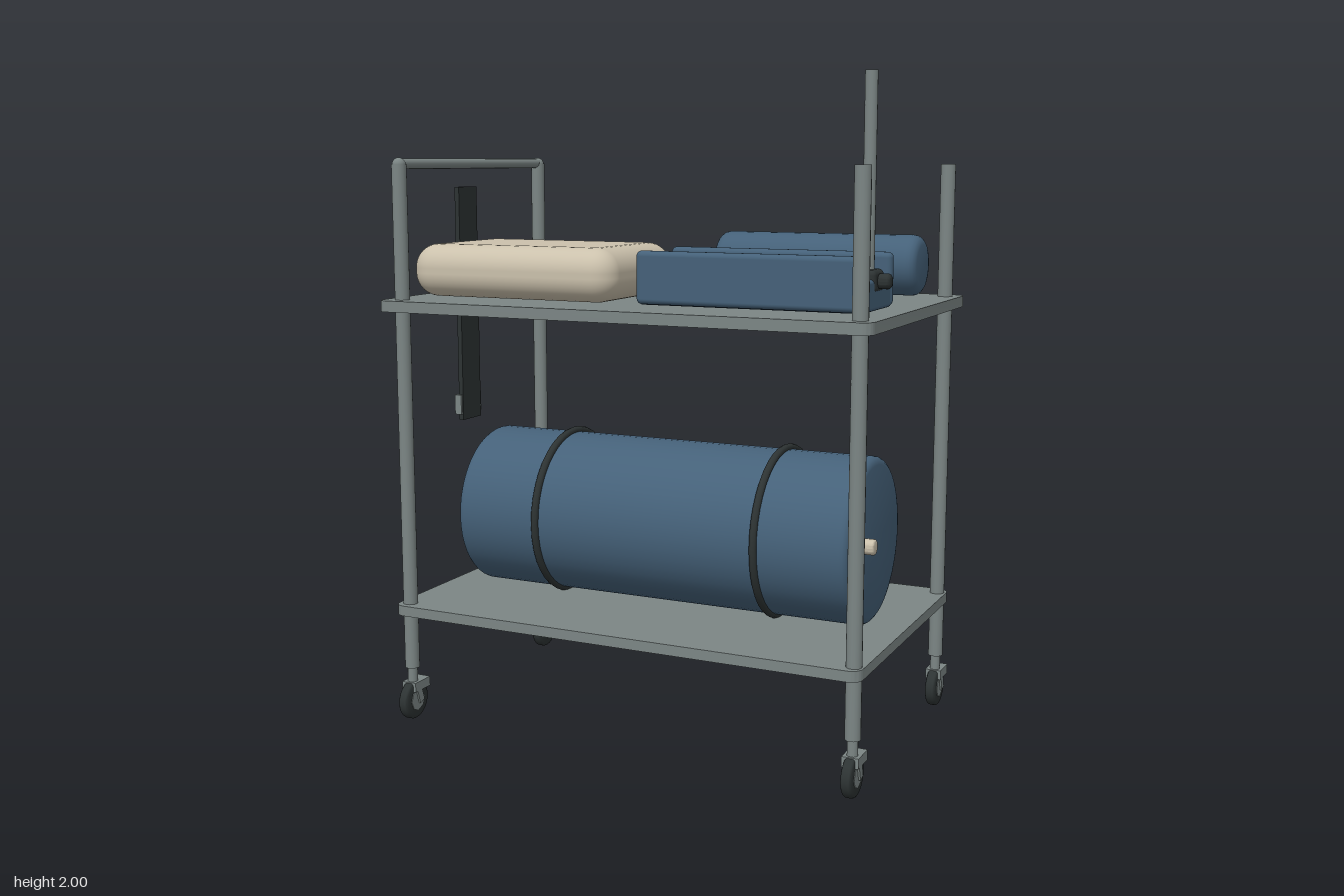
import * as THREE from 'three';
import { toCreasedNormals } from 'three/addons/utils/BufferGeometryUtils.js';
import { RoundedBoxGeometry } from 'three/addons/geometries/RoundedBoxGeometry.js';

const paint = (name, color) => {
  const m = new THREE.MeshStandardMaterial({ color });
  m.name = name;
  return m;
};

// Cylinder lying along x with softly rounded rims
function rollGeometry(radius, length, bevel, segments = 40) {
  const h = length / 2;
  const points = [new THREE.Vector2(0, -h)];
  for (const end of [-1, 1]) {
    for (let i = 0; i <= 4; i++) {
      const a = (end < 0 ? i - 4 : i) * Math.PI / 8;
      points.push(new THREE.Vector2(
        radius - bevel + bevel * Math.cos(a), end * (h - bevel) + bevel * Math.sin(a)));
    }
  }
  points.push(new THREE.Vector2(0, h));
  return toCreasedNormals(new THREE.LatheGeometry(points, segments).rotateZ(-Math.PI / 2), 0.5);
}

// Flat plate with rounded corners, bottom at y = 0
function shelfGeometry(w, d, thick, r) {
  const x = w / 2 - r, z = d / 2 - r, s = new THREE.Shape();
  s.absarc(x, z, r, 0, Math.PI / 2);
  s.absarc(-x, z, r, Math.PI / 2, Math.PI);
  s.absarc(-x, -z, r, Math.PI, Math.PI * 1.5);
  s.absarc(x, -z, r, Math.PI * 1.5, Math.PI * 2);
  const g = new THREE.ExtrudeGeometry(s, { depth: thick, bevelEnabled: false, curveSegments: 6 });
  return toCreasedNormals(g.rotateX(-Math.PI / 2), 0.6);
}

export function createModel() {
  const model = new THREE.Group();
  model.name = 'supplyCart';
  const metal = paint('greyMetal', 0x7c8685);
  const blue = paint('blue', 0x456179);
  const cream = paint('cream', 0xcbc1ac);
  const green = paint('green', 0x2e6b61);
  const dark = paint('blackRubber', 0x2d3333);

  const add = (name, geometry, material, x = 0, y = 0, z = 0, parent = model) => {
    const mesh = new THREE.Mesh(geometry, material);
    mesh.name = name;
    mesh.position.set(x, y, z);
    parent.add(mesh);
    return mesh;
  };
  const box = (w, h, d) => new THREE.BoxGeometry(w, h, d);
  const rod = (r, h, n = 16) => new THREE.CylinderGeometry(r, r, h, n);

  // Shelves
  add('upperShelf', shelfGeometry(1.57, 0.95, 0.034, 0.035), metal, -0.003, 1.301, -0.003);
  add('lowerShelf', shelfGeometry(1.53, 0.91, 0.032, 0.035), metal, -0.003, 0.346, 0);

  // Posts, each on a swivelling caster
  const postX = 0.733, postZ = 0.413;
  for (const sx of [-1, 1]) {
    for (const sz of [-1, 1]) {
      const x = sx * postX, z = sz * postZ;
      add('post', rod(0.023, 1.575), metal, x, 0.957, z);
      const caster = new THREE.Group();
      caster.name = 'caster';
      caster.position.set(x, 0, z);
      model.add(caster);
      add('casterStem', rod(0.016, 0.07, 12), metal, 0, 0.142, 0, caster);
      add('forkCrown', box(0.05, 0.03, 0.08), metal, 0, 0.108, -0.018, caster);
      add('wheel', rollGeometry(0.062, 0.032, 0.01, 24), dark, 0, 0.063, 0, caster);
      add('wheelHub', rod(0.034, 0.036, 8).rotateZ(Math.PI / 2), metal, 0, 0.063, 0, caster);
      for (const side of [-1, 1]) {
        const plate = add('forkPlate', box(0.006, 0.065, 0.024), metal, side * 0.021, 0.085, -0.006, caster);
        plate.rotation.x = 0.3;
      }
    }
  }

  // Push handle joining the two posts at the right end
  add('handleBar', rod(0.016, postZ * 2).rotateX(Math.PI / 2), metal, -postX, 1.745, 0);
  for (const sz of [-1, 1]) {
    add('handleElbow', new THREE.SphereGeometry(0.021, 16, 10), metal, -postX, 1.743, sz * postZ);
  }

  // Hanging strap with a buckle
  add('strap', box(0.016, 0.765, 0.106), dark, -0.765, 1.288, 0);
  add('strapBuckle', box(0.024, 0.065, 0.122), metal, -0.772, 0.957, 0);

  // Large tank with bands and a valve
  add('tank', rollGeometry(0.254, 1.31, 0.025, 48), blue, -0.003, 0.632, 0);
  for (const x of [-0.37, 0.364]) {
    add('tankBand', new THREE.TorusGeometry(0.257, 0.012, 8, 40).rotateY(Math.PI / 2), dark, x, 0.634, 0);
  }
  add('tankValve', rollGeometry(0.024, 0.05, 0.006, 16), cream, 0.66, 0.636, 0.09);

  // Cushion
  add('cushion', new RoundedBoxGeometry(0.69, 0.16, 0.468, 5, 0.072), cream, -0.367, 1.425, 0.181);

  // Ring
  add('ring', toCreasedNormals(new THREE.TorusGeometry(0.12, 0.057, 8, 28).rotateX(Math.PI / 2), 0.5),
    green, -0.443, 1.394, -0.279);

  // Bolster
  add('bolster', rollGeometry(0.093, 0.665, 0.03, 32), blue, 0.366, 1.438, -0.277);

  // Padded tray with two side rails
  add('trayBase', new RoundedBoxGeometry(0.69, 0.09, 0.25, 3, 0.012), blue, 0.363, 1.385, 0.183);
  for (const z of [0.063, 0.303]) {
    add('trayRail', new RoundedBoxGeometry(0.695, 0.155, 0.036, 4, 0.016), blue, 0.363, 1.42, z);
  }

  // Upright pole with its clamp and knob
  add('pole', rod(0.018, 0.6), metal, 0.676, 1.7, 0.184);
  add('poleClamp', new RoundedBoxGeometry(0.068, 0.065, 0.092, 3, 0.015), dark, 0.677, 1.423, 0.184);
  add('clampKnob', rollGeometry(0.022, 0.04, 0.01, 16), dark, 0.725, 1.423, 0.184);

  return model;
}
